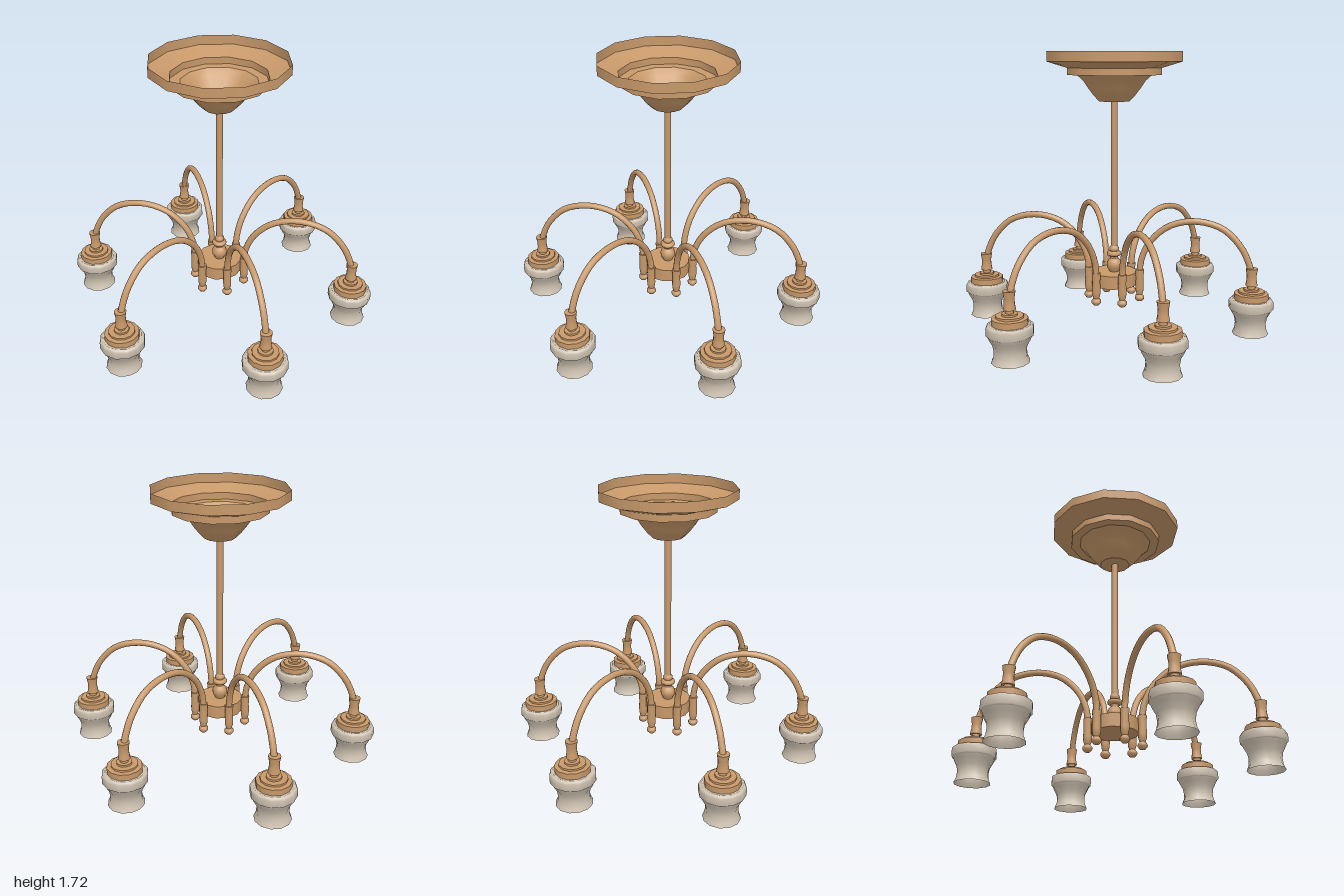
import * as THREE from 'three';
import { mergeGeometries } from 'three/addons/utils/BufferGeometryUtils.js';

const V2 = (p) => new THREE.Vector2(p[0], p[1]);

// Turned part: each strip is a smooth run of [radius, y], with hard edges between strips
function turned(strips, sides = 12) {
  return mergeGeometries(strips.map((s) => new THREE.LatheGeometry(s.map(V2), sides)));
}

// Turns one profile into strips with a hard edge at every point
function hard(points) {
  return points.slice(1).map((p, i) => [points[i], p]);
}

export function createModel() {
  const brass = new THREE.MeshStandardMaterial({ color: 0xc8996a, side: THREE.DoubleSide });
  brass.name = 'brass';
  const glass = new THREE.MeshStandardMaterial({ color: 0xcfc3b2, side: THREE.DoubleSide });
  glass.name = 'frostedGlass';

  const model = new THREE.Group();
  model.name = 'chandelier';
  const add = (parent, name, geometry, material, z = 0) => {
    const mesh = new THREE.Mesh(geometry, material);
    mesh.name = name;
    mesh.position.z = z;
    parent.add(mesh);
  };

  // Ceiling canopy, a thin dish open at the top
  add(model, 'canopy', turned([
    [[0, 1.42], [0.095, 1.42]],
    [[0.095, 1.42], [0.13, 1.455], [0.165, 1.5], [0.195, 1.545], [0.235, 1.58]],
    ...hard([[0.235, 1.58], [0.295, 1.58], [0.295, 1.622], [0.42, 1.66], [0.42, 1.72]]),
  ]), brass);

  // Central rod
  const rod = new THREE.CylinderGeometry(0.021, 0.021, 0.95, 12);
  rod.translate(0, 0.945, 0);
  add(model, 'rod', rod, brass);

  // Turned beads at the foot of the rod
  add(model, 'rodFinial', turned([
    [[0.03, 0.34], [0.035, 0.355], [0.047, 0.375], [0.048, 0.395], [0.04, 0.415], [0.026, 0.43]],
    [[0.026, 0.43], [0.026, 0.443]],
    [[0.026, 0.443], [0.043, 0.45], [0.047, 0.46], [0.043, 0.471], [0.026, 0.477]],
    [[0.026, 0.477], [0.031, 0.487], [0.031, 0.497], [0.021, 0.512]],
  ]), brass);

  // Hub
  const hub = new THREE.CylinderGeometry(0.145, 0.145, 0.083, 12);
  hub.translate(0, 0.304, 0);
  add(model, 'hub', hub, brass);

  // Shared geometries of the six arms
  const inner = 0.165, outer = 0.863;
  const path = new THREE.CatmullRomCurve3(
    [[inner, 0.34], [0.173, 0.42], [0.225, 0.54], [0.345, 0.65], [0.51, 0.69],
      [0.68, 0.65], [0.795, 0.54], [0.848, 0.43], [0.857, 0.395]]
      .map(([z, y]) => new THREE.Vector3(0, y, z)));
  const tube = new THREE.TubeGeometry(path, 24, 0.02, 10);

  const sleeve = turned([
    [[0, 0.155], [0.018, 0.16], [0.03, 0.175], [0.03, 0.188], [0.018, 0.203]],
    [[0.018, 0.203], [0.025, 0.225], [0.027, 0.25], [0.025, 0.31], [0.028, 0.365]],
    [[0.028, 0.365], [0, 0.365]],
  ]);

  const socket = turned([
    ...hard([[0, 0.215], [0.105, 0.215], [0.105, 0.257], [0.08, 0.26], [0.08, 0.272],
      [0.046, 0.272], [0.046, 0.284], [0.024, 0.284], [0.024, 0.305], [0.037, 0.305]]),
    [[0.037, 0.305], [0.031, 0.34], [0.03, 0.37], [0.037, 0.412]],
    [[0.037, 0.412], [0, 0.412]],
  ]);

  const shade = turned([
    [[0.111, 0], [0.098, 0.03], [0.094, 0.065], [0.1, 0.1], [0.119, 0.135], [0.128, 0.155]],
    [[0.128, 0.155], [0.137, 0.162], [0.137, 0.205], [0.13, 0.217], [0.117, 0.22]],
    [[0.117, 0.22], [0.1, 0.22]],
  ]);

  // Six arms, each carrying a lamp
  for (let i = 0; i < 6; i++) {
    const arm = new THREE.Group();
    arm.name = `arm${i + 1}`;
    arm.rotation.y = (i * Math.PI) / 3;
    add(arm, 'armTube', tube, brass);
    add(arm, 'armSleeve', sleeve, brass, inner);
    add(arm, 'lampSocket', socket, brass, outer);
    add(arm, 'lampShade', shade, glass, outer);
    model.add(arm);
  }
  return model;
}
